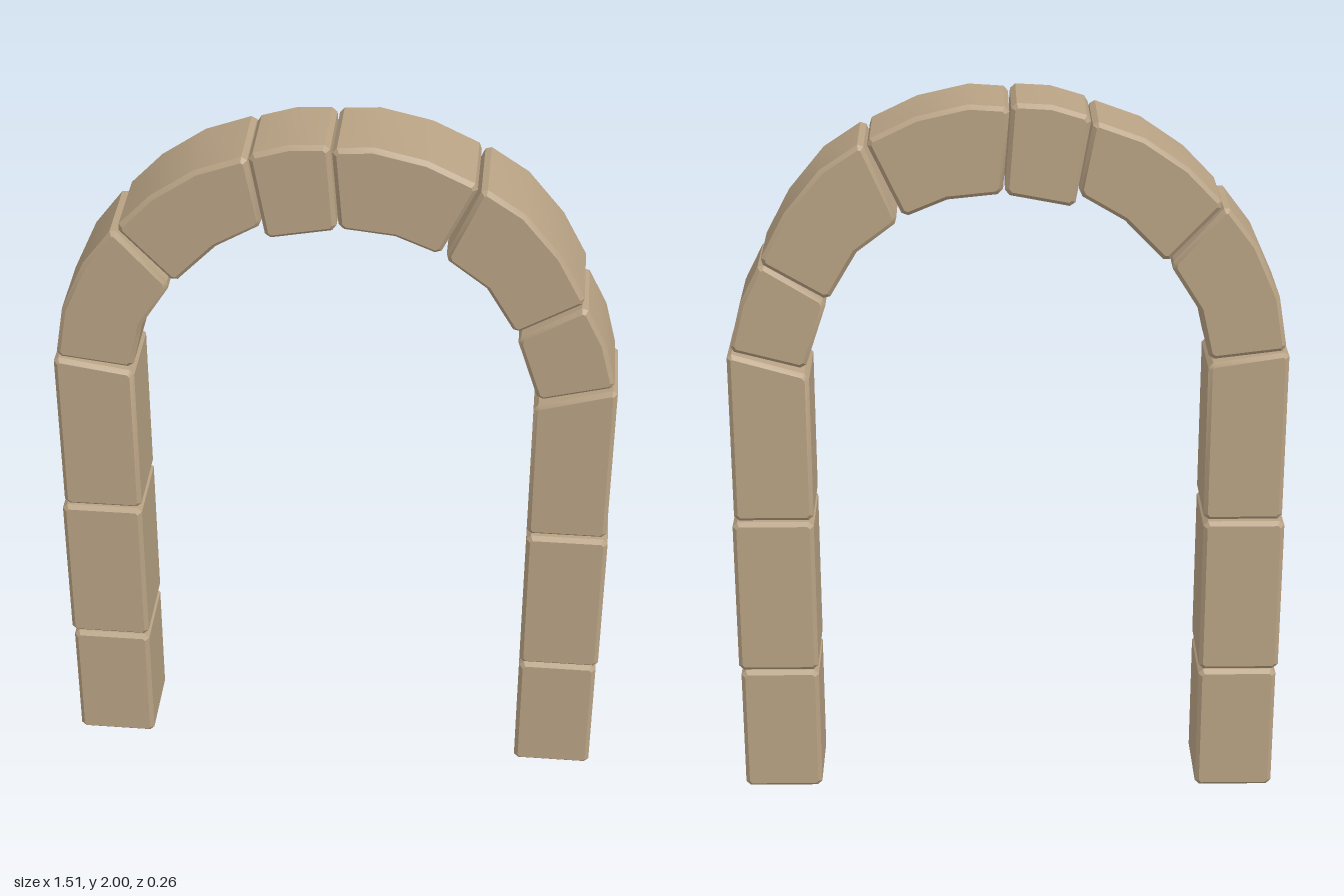
import * as THREE from 'three';
import { toCreasedNormals } from 'three/addons/utils/BufferGeometryUtils.js';

const BEVEL = 0.011;

// Cuts the sharp corners of an outline, leaving the shallow curve points alone
function chamferOutline(points, cut) {
  const out = [];
  const n = points.length;
  points.forEach((p, i) => {
    const prev = points[(i + n - 1) % n], next = points[(i + 1) % n];
    const a = p.clone().sub(prev).normalize();
    const b = next.clone().sub(p).normalize();
    if (a.dot(b) > 0.7) out.push(p);
    else out.push(p.clone().addScaledVector(a, -cut), p.clone().addScaledVector(b, cut));
  });
  return out;
}

// One worn-edged stone: front outline, back and front z
function stone(name, outline, back, front, material) {
  const points = outline.map(([x, y]) => new THREE.Vector2(x, y));
  const shape = new THREE.Shape(chamferOutline(points, 0.013));
  const geometry = new THREE.ExtrudeGeometry(shape, {
    depth: front - back - 2 * BEVEL,
    bevelEnabled: true,
    bevelSize: BEVEL,
    bevelOffset: -BEVEL,
    bevelThickness: BEVEL,
    bevelSegments: 1,
  });
  geometry.translate(0, 0, back + BEVEL);
  const mesh = new THREE.Mesh(toCreasedNormals(geometry, 0.5), material);
  mesh.name = name;
  return mesh;
}

// Outline of a pillar block whose top may slope
const block = (x0, x1, y0, topLeft, topRight = topLeft) =>
  [[x0, y0], [x1, y0], [x1, topRight], [x0, topLeft]];

export function createModel() {
  const sandstone = new THREE.MeshStandardMaterial({ color: 0xb8a284 });
  sandstone.name = 'sandstone';

  const stones = [
    // Right-hand pillar (-x)
    ['rightPillarBase', block(-0.752, -0.535, 0, 0.37), -0.123, 0.107],
    ['rightPillarMiddle', block(-0.757, -0.535, 0.375, 0.828), -0.127, 0.108],
    ['rightPillarTop', block(-0.75, -0.535, 0.832, 1.32, 1.287), -0.12, 0.105],
    // Left-hand pillar (+x)
    ['leftPillarBase', block(0.53, 0.747, 0, 0.37), -0.109, 0.122],
    ['leftPillarMiddle', block(0.53, 0.752, 0.375, 0.828), -0.113, 0.127],
    ['leftPillarTop', block(0.53, 0.747, 0.832, 1.257, 1.32), -0.109, 0.12],
    // Arch stones from -x to +x: outer edge, then inner edge back
    ['archStone1', [[-0.742, 1.325], [-0.717, 1.475], [-0.653, 1.618], [-0.57, 1.728],
      [-0.426, 1.565], [-0.505, 1.44], [-0.537, 1.3]], -0.122, 0.104],
    ['archStone2', [[-0.562, 1.732], [-0.468, 1.83], [-0.352, 1.91], [-0.22, 1.958],
      [-0.182, 1.762], [-0.304, 1.69], [-0.415, 1.575]], -0.13, 0.105],
    ['archStone3', [[-0.216, 1.963], [-0.114, 1.994], [-0.01, 2.0],
      [0.008, 1.757], [-0.174, 1.722]], -0.113, 0.106],
    ['archStone4', [[-0.005, 1.992], [0.1, 1.999], [0.235, 1.968], [0.366, 1.905],
      [0.27, 1.7], [0.156, 1.747], [0.013, 1.762]], -0.124, 0.107],
    ['archStone5', [[0.375, 1.903], [0.484, 1.83], [0.58, 1.713], [0.65, 1.58],
      [0.472, 1.475], [0.394, 1.607], [0.283, 1.692]], -0.13, 0.11],
    ['archStone6', [[0.65, 1.57], [0.706, 1.459], [0.74, 1.325],
      [0.54, 1.272], [0.477, 1.462]], -0.103, 0.114],
  ];

  const arch = new THREE.Group();
  arch.name = 'stoneArch';
  for (const [name, outline, back, front] of stones) {
    arch.add(stone(name, outline, back, front, sandstone));
  }
  return arch;
}
